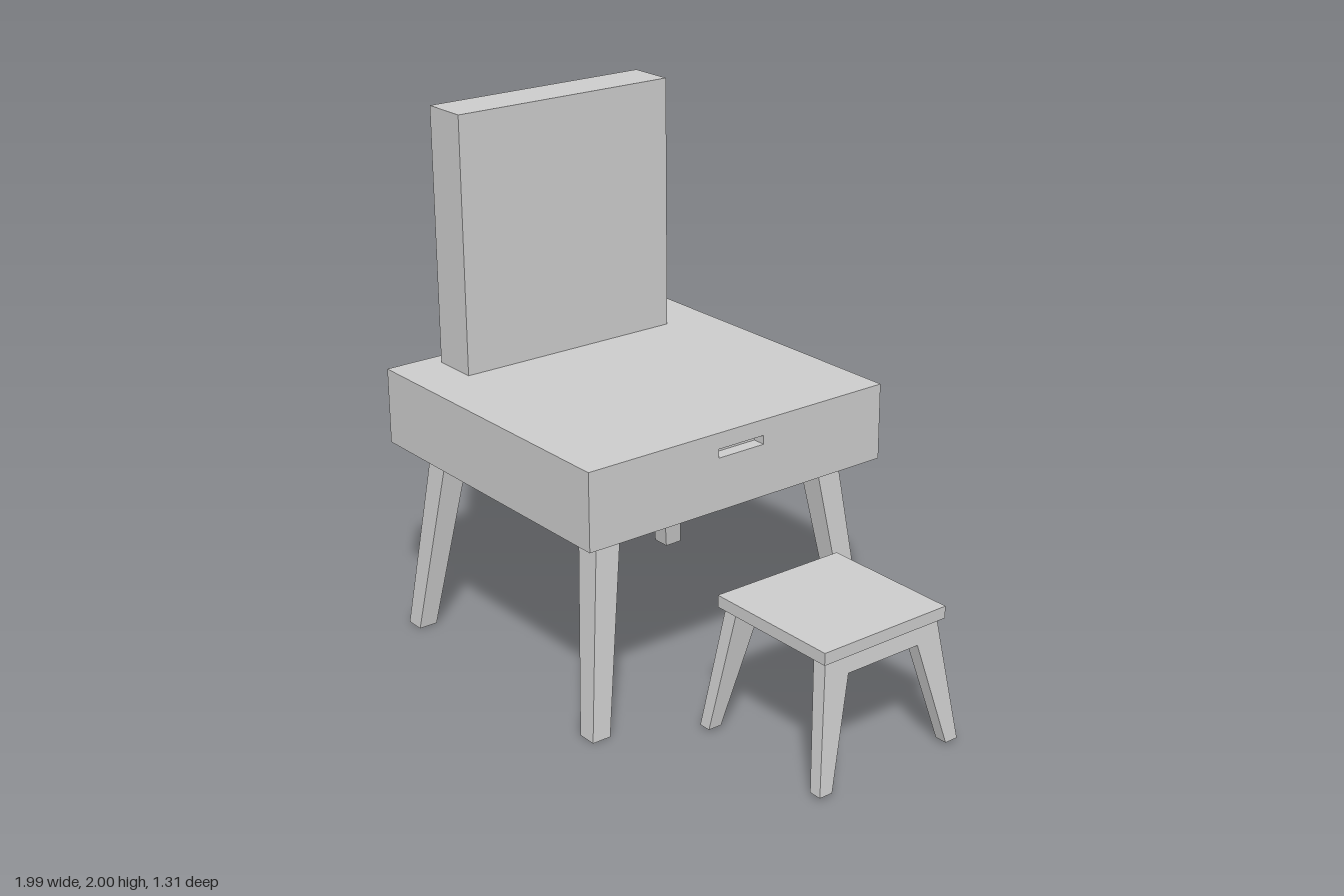
import * as THREE from 'three';

const material = new THREE.MeshStandardMaterial({ color: 0xcccccc, flatShading: true });

function addMesh(parent, name, geometry) {
  const mesh = new THREE.Mesh(geometry, material);
  mesh.name = name;
  parent.add(mesh);
  return mesh;
}

// Box given by its minimum and maximum corners
function addBox(parent, name, min, max) {
  const size = max.map((v, i) => v - min[i]);
  const mesh = addMesh(parent, name, new THREE.BoxGeometry(...size));
  mesh.position.set(...max.map((v, i) => (v + min[i]) / 2));
  return mesh;
}

// Splayed leg tapering from a wide top to a narrow foot
function legGeometry(top, foot, height) {
  const geometry = new THREE.BoxGeometry(1, 1, 1);
  const p = geometry.attributes.position;
  for (let i = 0; i < p.count; i++) {
    const upper = p.getY(i) > 0;
    const end = upper ? top : foot;
    p.setXYZ(i, end.x + p.getX(i) * end.size, upper ? height : 0, end.z + p.getZ(i) * end.size);
  }
  geometry.computeVertexNormals();
  return geometry;
}

// U-shaped frame: two legs joined by a rail, leaning outwards towards +x
function frameGeometry() {
  const foot = 0.01, top = 0.47;
  const half = [[0.317, foot], [0.263, foot], [0.157, 0.4]];
  const outline = [[0.253, top], ...half, ...half.map(([z, y]) => [-z, y]).reverse(), [-0.253, top]];
  const shape = new THREE.Shape(outline.map(([z, y]) => new THREE.Vector2(z, y)));
  const geometry = new THREE.ExtrudeGeometry(shape, { depth: 1, bevelEnabled: false });
  geometry.rotateY(Math.PI / 2);
  const p = geometry.attributes.position;
  for (let i = 0; i < p.count; i++) {
    const t = (p.getY(i) - foot) / (top - foot);
    const inner = THREE.MathUtils.lerp(0.265, 0.197, t);
    const outer = THREE.MathUtils.lerp(0.313, 0.254, t);
    p.setX(i, THREE.MathUtils.lerp(inner, outer, p.getX(i)));
  }
  geometry.computeVertexNormals();
  return geometry;
}

function rectangle(path, x0, y0, x1, y1) {
  path.moveTo(x0, y0);
  path.lineTo(x1, y0);
  path.lineTo(x1, y1);
  path.lineTo(x0, y1);
  path.closePath();
  return path;
}

export function createModel() {
  const model = new THREE.Group();
  model.name = 'dressingTableAndStool';

  // Table body, with a recessed hand slot in the drawer side
  const table = new THREE.Group();
  table.name = 'table';
  model.add(table);
  const slotDepth = 0.05;
  addBox(table, 'tableBody', [-1, 0.74, -0.653], [0.25 - slotDepth, 1.03, 0.653]);
  const face = rectangle(new THREE.Shape(), -0.653, 0.74, 0.653, 1.03);
  face.holes.push(rectangle(new THREE.Path(), -0.1, 0.937, 0.1, 0.97));
  const faceGeometry = new THREE.ExtrudeGeometry(face, { depth: slotDepth, bevelEnabled: false });
  faceGeometry.rotateY(Math.PI / 2);
  addMesh(table, 'drawerFace', faceGeometry).position.x = 0.25 - slotDepth;

  // Upright mirror panel
  addBox(table, 'mirrorPanel', [-0.935, 1.03, -0.46], [-0.752, 2, 0.46]);

  // Four table legs
  for (const sx of [-1, 1]) {
    for (const sz of [-1, 1]) {
      const top = { x: sx * 0.464, z: sz * 0.496, size: 0.102 };
      const foot = { x: sx * 0.557, z: sz * 0.597, size: 0.074 };
      addMesh(table, 'tableLeg', legGeometry(top, foot, 0.74)).position.x = -0.373;
    }
  }

  // Stool: square seat on two splayed frames
  const stool = new THREE.Group();
  stool.name = 'stool';
  stool.position.set(0.677, 0, -0.043);
  model.add(stool);
  addBox(stool, 'seat', [-0.273, 0.47, -0.273], [0.273, 0.515, 0.273]);
  const frame = frameGeometry();
  for (const turn of [0, Math.PI]) {
    addMesh(stool, 'stoolFrame', frame).rotation.y = turn;
  }

  return model;
}
